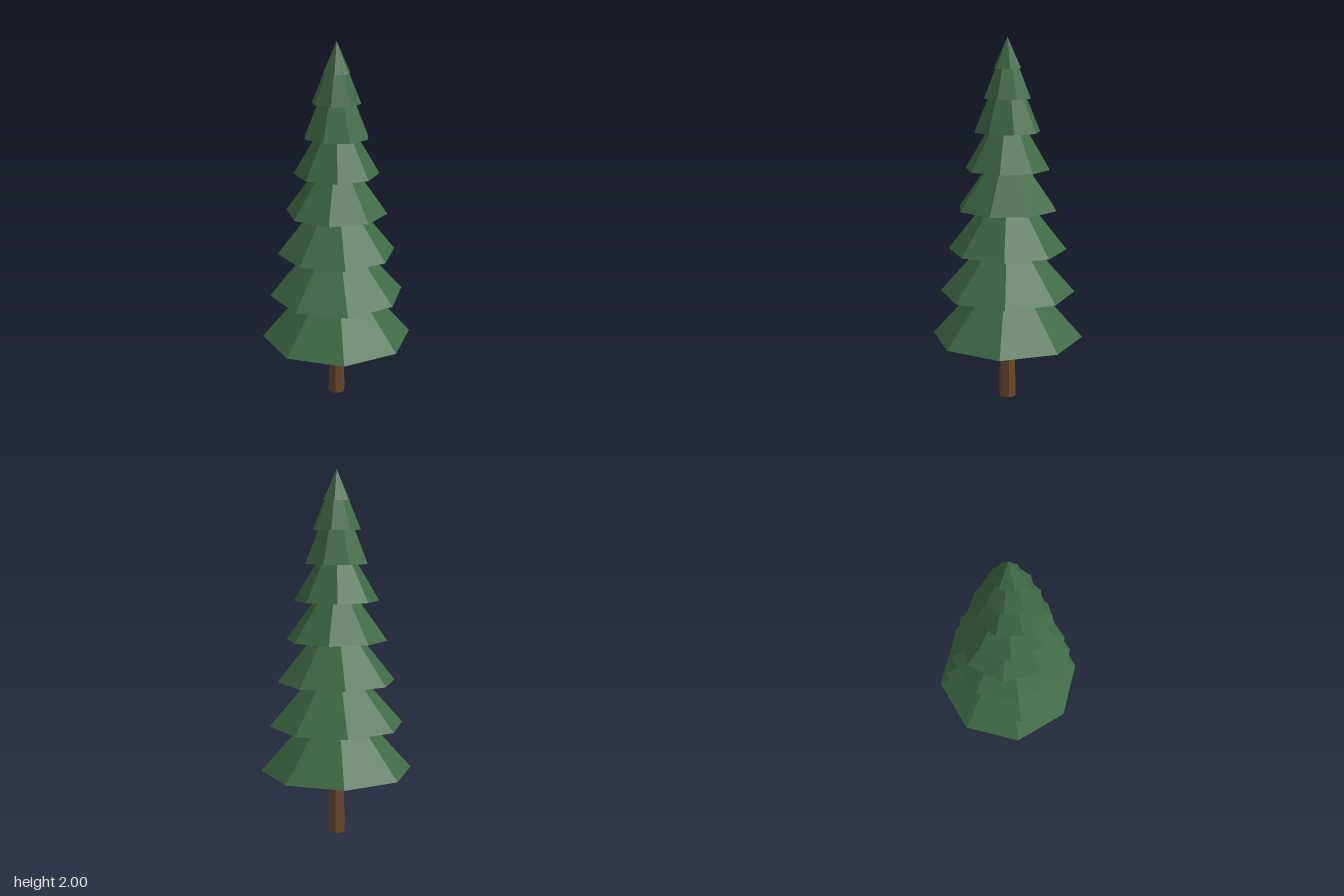
import * as THREE from 'three';

const DEG = Math.PI / 180;

// Faceted frustum standing between two heights, its first corner turned by the given angle
function frustum(name, material, sides, y0, r0, y1, r1, turn) {
  const geometry = new THREE.CylinderGeometry(r1, r0, y1 - y0, sides, 1, false, turn * DEG);
  const mesh = new THREE.Mesh(geometry, material);
  mesh.position.y = (y0 + y1) / 2;
  mesh.name = name;
  return mesh;
}

export function createModel() {
  const tree = new THREE.Group();
  tree.name = 'pineTree';

  const needles = new THREE.MeshStandardMaterial({ color: 0x3f6b45, flatShading: true });
  needles.name = 'needle green';
  const bark = new THREE.MeshStandardMaterial({ color: 0x6b472c, flatShading: true });
  bark.name = 'bark brown';

  // Tapered hexagonal trunk, running up into the lowest branches
  tree.add(frustum('trunk', bark, 6, 0, 0.05, 0.45, 0.039, 30));

  // Branch tiers: base height, base radius, radius where the next tier begins, turn in degrees
  const tiers = [
    [0.36, 0.418, 0.19, 28.3],
    [0.615, 0.372, 0.158, 32],
    [0.857, 0.325, 0.144, 31],
    [1.085, 0.278, 0.122, 14.5],
    [1.3, 0.231, 0.113, 24],
    [1.5, 0.18, 0.105, 0],
    [1.68, 0.133, 0, 10.4],
  ];
  const overlap = 0.03;
  tiers.forEach(([y, r, rNext, turn], i) => {
    const last = i === tiers.length - 1;
    const yNext = last ? 2 : tiers[i + 1][0];
    // Keep the slope while pushing the top inside the tier above
    const top = last ? yNext : yNext + overlap;
    const rTop = r + (rNext - r) * (top - y) / (yNext - y);
    tree.add(frustum(`branchTier${i + 1}`, needles, 8, y, r, top, rTop, turn));
  });

  // Small hexagonal tip poking through the top tier
  tree.add(frustum('treeTip', needles, 6, 1.835, 0.077, 2, 0, 30));

  return tree;
}
